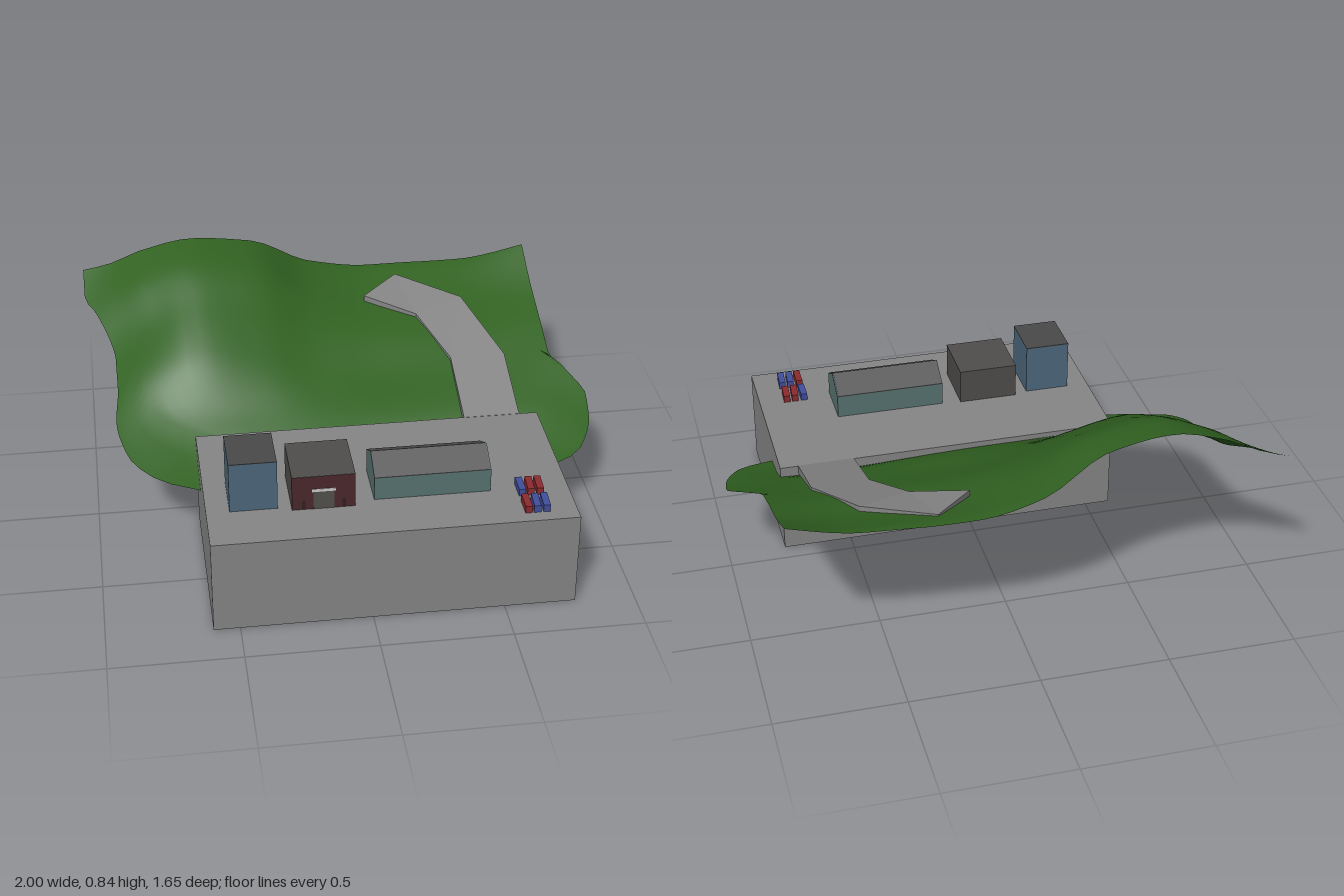
import * as THREE from 'three';

const mat = (color, extra = {}) => new THREE.MeshStandardMaterial({ color, ...extra });
const CONCRETE = 0x868686;

// Smooth interpolation through knots without overshoot
function sample(xs, ys, t) {
  const n = xs.length;
  if (t <= xs[0]) return ys[0];
  if (t >= xs[n - 1]) return ys[n - 1];
  const slope = (i) => (ys[i + 1] - ys[i]) / (xs[i + 1] - xs[i]);
  const tangent = (i) => {
    if (i === 0) return slope(0);
    if (i === n - 1) return slope(n - 2);
    const a = slope(i - 1), b = slope(i);
    return a * b <= 0 ? 0 : (2 * a * b) / (a + b);
  };
  let i = 0;
  while (t > xs[i + 1]) i++;
  const h = xs[i + 1] - xs[i], s = (t - xs[i]) / h, s2 = s * s, s3 = s2 * s;
  return (2 * s3 - 3 * s2 + 1) * ys[i] + (s3 - 2 * s2 + s) * h * tangent(i)
    + (3 * s2 - 2 * s3) * ys[i + 1] + (s3 - s2) * h * tangent(i + 1);
}

// Box given by its limits on each axis
function block(name, [x0, x1], [y0, y1], [z0, z1], material) {
  const mesh = new THREE.Mesh(new THREE.BoxGeometry(x1 - x0, y1 - y0, z1 - z0), material);
  mesh.position.set((x0 + x1) / 2, (y0 + y1) / 2, (z0 + z1) / 2);
  mesh.name = name;
  return mesh;
}

// Hillside: a sheet with curved outline in plan and a table of heights
const HX = [-1, -0.88, -0.75, -0.55, -0.3, -0.05, 0.2, 0.6, 0.95];
const HZ = [-0.8, -0.6, -0.4, -0.2, 0, 0.2, 0.3];
const HEIGHTS = [
  [0.70, 0.74, 0.80, 0.845, 0.81, 0.675, 0.63, 0.638, 0.71],
  [0.59, 0.66, 0.74, 0.805, 0.77, 0.635, 0.58, 0.572, 0.612],
  [0.48, 0.535, 0.62, 0.71, 0.665, 0.565, 0.53, 0.525, 0.54],
  [0.44, 0.465, 0.53, 0.59, 0.54, 0.47, 0.45, 0.45, 0.462],
  [0.395, 0.395, 0.40, 0.41, 0.40, 0.39, 0.385, 0.375, 0.37],
  [0.33, 0.325, 0.31, 0.30, 0.30, 0.30, 0.29, 0.275, 0.31],
  [0.29, 0.29, 0.29, 0.28, 0.28, 0.27, 0.27, 0.262, 0.285],
];
const height = (x, z) => sample(HZ, HEIGHTS.map((row) => sample(HX, row, x)), z);
const leftEdge = (z) => sample(
  [-0.8, -0.68, -0.59, -0.42, -0.36, -0.2, -0.03, 0.13, 0.25, 0.31],
  [-1, -1, -0.96, -0.9, -0.89, -0.89, -0.905, -0.87, -0.75, -0.6], z);
const rightEdge = (z) => sample(
  [-0.8, -0.24, -0.16, -0.04, 0.07, 0.23, 0.3, 0.31],
  [0.885, 0.885, 0.925, 1, 0.99, 0.92, 0.81, 0.77], z);
const backEdge = (u) => sample(
  [0, 0.08, 0.24, 0.35, 0.48, 0.6, 0.7, 0.8, 1],
  [-0.8, -0.78, -0.76, -0.77, -0.81, -0.825, -0.825, -0.815, -0.8], u);
const frontEdge = (u) => sample(
  [0, 0.0625, 0.15, 0.22, 0.9375, 1], [0.31, 0.07, 0.06, 0.078, 0.078, 0.31], u);

function hillside() {
  const nu = 32, nv = 28;
  const geo = new THREE.PlaneGeometry(1, 1, nu, nv);
  const pos = geo.attributes.position;
  for (let j = 0, k = 0; j <= nv; j++) {
    for (let i = 0; i <= nu; i++, k++) {
      const u = i / nu, v = j / nv;
      const along = (t) => THREE.MathUtils.lerp(backEdge(t), frontEdge(t), v);
      const x = THREE.MathUtils.lerp(leftEdge(along(0)), rightEdge(along(1)), u);
      const z = along(u);
      pos.setXYZ(k, x, height(x, z), z);
    }
  }
  geo.computeVertexNormals();
  const mesh = new THREE.Mesh(geo, mat(0x316221, { side: THREE.DoubleSide }));
  mesh.name = 'hillside';
  return mesh;
}

// Road: slab swept through paired edge points
function road() {
  const left = [[0.475, 0.381, 0.075], [0.475, 0.48, -0.24], [0.37, 0.562, -0.48], [0.165, 0.605, -0.59]];
  const right = [[0.7, 0.381, 0.075], [0.7, 0.48, -0.24], [0.575, 0.585, -0.565], [0.32, 0.621, -0.74]];
  const drop = ([x, y, z]) => [x, y - 0.035, z];
  const rings = left.map((l, i) => [l, right[i], drop(right[i]), drop(l)]);
  const verts = [];
  const quad = (a, b, c, d) => verts.push(...a, ...b, ...c, ...a, ...c, ...d);
  for (let i = 0; i < rings.length - 1; i++) {
    const a = rings[i], b = rings[i + 1];
    for (let k = 0; k < 4; k++) quad(a[k], a[(k + 1) % 4], b[(k + 1) % 4], b[k]);
  }
  quad(...[...rings[0]].reverse());
  quad(...rings[rings.length - 1]);
  const geo = new THREE.BufferGeometry();
  geo.setAttribute('position', new THREE.Float32BufferAttribute(verts, 3));
  geo.computeVertexNormals();
  const mesh = new THREE.Mesh(geo, mat(CONCRETE, { side: THREE.DoubleSide }));
  mesh.name = 'road';
  return mesh;
}

// Long hall: gabled body with two roof slopes
function hall() {
  const g = new THREE.Group();
  g.name = 'hall';
  const [x0, x1, z0, z1, zm] = [0.032, 0.475, 0.403, 0.607, 0.505];
  const extrudeX = (name, pts, from, to, material) => {
    const shape = new THREE.Shape(pts.map(([z, y]) => new THREE.Vector2(-z, y)));
    const geo = new THREE.ExtrudeGeometry(shape, { depth: to - from, bevelEnabled: false });
    geo.rotateY(Math.PI / 2).translate(from, 0, 0);
    const mesh = new THREE.Mesh(geo, material);
    mesh.name = name;
    g.add(mesh);
  };
  extrudeX('hallWalls', [[z1, 0.38], [z0, 0.38], [z0, 0.473], [zm, 0.528], [z1, 0.473]], x0, x1, mat(0x587371));
  const roof = mat(0x545454);
  for (const z of [z0, z1]) {
    extrudeX('hallRoof', [[z, 0.473], [z, 0.476], [zm, 0.531], [zm, 0.528]], x0, x1 - 0.004, roof);
  }
  return g;
}

export function createModel() {
  const model = new THREE.Group();
  model.name = 'hillsideYard';
  model.add(block('base', [-0.6, 0.772], [0, 0.38], [0.073, 0.825], mat(CONCRETE)));
  model.add(hillside(), road(), hall());

  // Tower with a flat grey roof
  const tower = new THREE.Group();
  tower.name = 'tower';
  tower.add(block('towerWalls', [-0.512, -0.332], [0.38, 0.582], [0.412, 0.616], mat(0x4d687c)));
  tower.add(block('towerRoof', [-0.512, -0.332], [0.582, 0.585], [0.412, 0.616], mat(0x4a4a4a)));
  model.add(tower);

  // Office with a coloured front, door, canopy and narrow windows
  const office = new THREE.Group();
  office.name = 'office';
  office.add(block('officeBody', [-0.281, -0.043], [0.38, 0.522], [0.395, 0.636], mat(0x504e4c)));
  office.add(block('officeFront', [-0.281, -0.043], [0.38, 0.521], [0.635, 0.637], mat(0x4b282b)));
  office.add(block('door', [-0.2, -0.122], [0.38, 0.455], [0.636, 0.638], mat(0x53504d)));
  office.add(block('canopy', [-0.206, -0.117], [0.455, 0.467], [0.636, 0.639], mat(0xcccccc)));
  for (const x of [-0.237, -0.086]) {
    office.add(block('window', [x - 0.006, x + 0.006], [0.382, 0.418], [0.636, 0.638], mat(0x32201f)));
  }
  model.add(office);

  // Two rows of storage containers
  const containers = new THREE.Group();
  containers.name = 'containers';
  const red = mat(0x8d2a30), blue = mat(0x414e9c);
  [[0.614, [blue, red, red]], [0.729, [red, blue, blue]]].forEach(([z, row]) => {
    row.forEach((material, i) => {
      const x = 0.587 + i * 0.035;
      const box = block('container', [x - 0.013, x + 0.013], [0.38, 0.409], [z - 0.043, z + 0.043], material);
      box.rotation.y = [0, -0.06, -0.05][i];
      containers.add(box);
    });
  });
  model.add(containers);
  return model;
}
